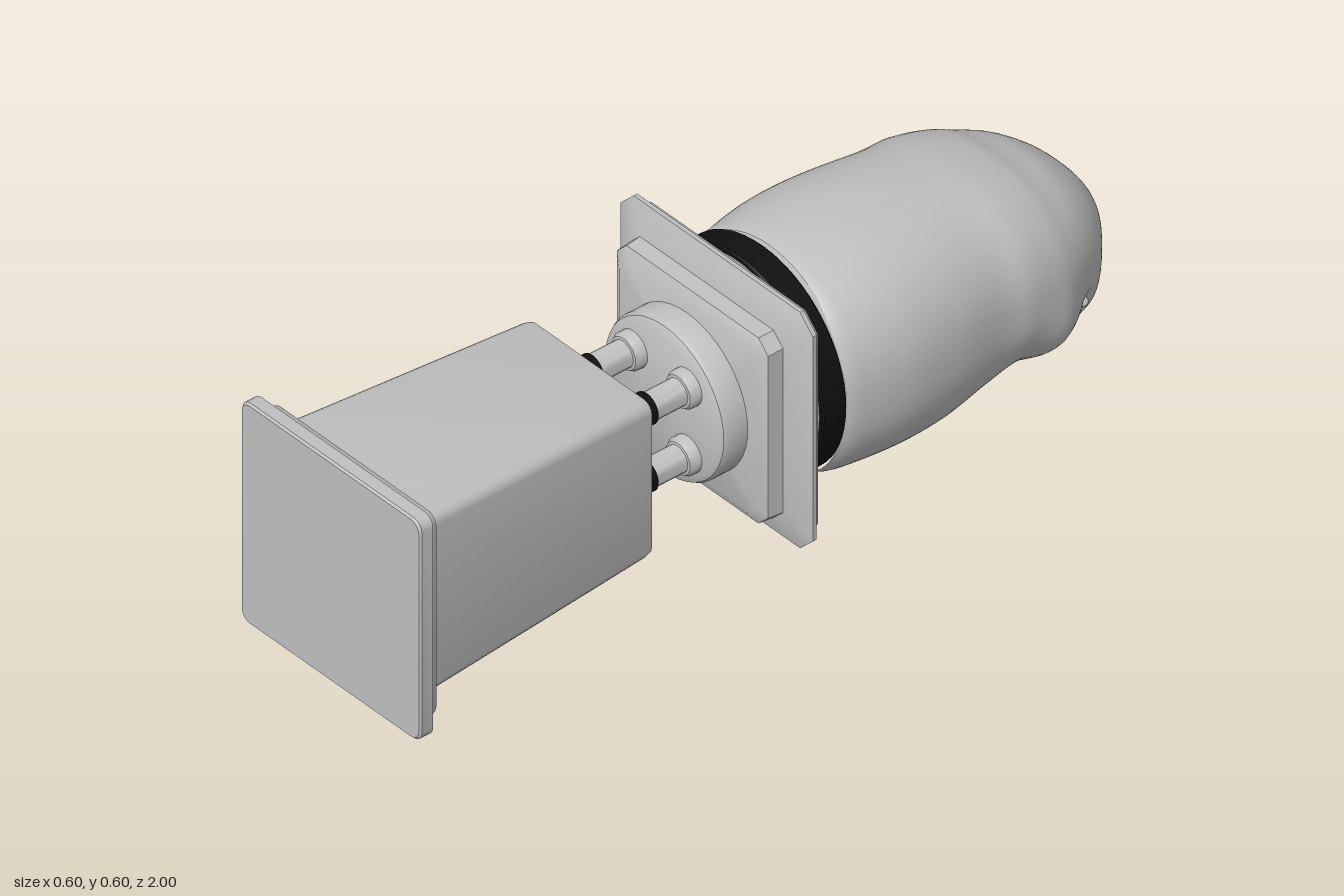
import * as THREE from 'three';
import { toCreasedNormals } from 'three/addons/utils/BufferGeometryUtils.js';

const MID = 0.3; // height of the long axis

// Joins equal-sized rings of points, ordered from +z to -z
function loft(rings) {
  const n = rings[0].length, pos = [], idx = [];
  rings.forEach(r => r.forEach(p => pos.push(p.x, p.y, p.z)));
  for (let i = 0; i < rings.length - 1; i++) {
    for (let j = 0; j < n; j++) {
      const a = i * n + j, b = i * n + (j + 1) % n;
      idx.push(a, a + n, b, b, a + n, b + n);
    }
  }
  const g = new THREE.BufferGeometry();
  g.setAttribute('position', new THREE.Float32BufferAttribute(pos, 3));
  g.setIndex(idx);
  g.computeVertexNormals();
  return g;
}

// Square ring with rounded (or chamfered, segs = 1) corners
function squareRing(z, half, r, segs) {
  const pts = [];
  const c = Math.max(half - r, 0), rad = Math.min(r, half);
  for (let q = 0; q < 4; q++) {
    const sx = q === 0 || q === 3 ? 1 : -1, sy = q < 2 ? 1 : -1;
    for (let k = 0; k <= segs; k++) {
      const a = (q + k / segs) * Math.PI / 2;
      pts.push(new THREE.Vector3(sx * c + rad * Math.cos(a), MID + sy * c + rad * Math.sin(a), z));
    }
  }
  return pts;
}

// Square body from a [z, half width] profile
const squareBody = (profile, r, segs) =>
  toCreasedNormals(loft(profile.map(([z, h]) => squareRing(z, h, r, segs))), 0.6);

// Round body from a [radius, z] profile, z rising
const roundBody = (profile, segs = 48) =>
  toCreasedNormals(new THREE.LatheGeometry(
    profile.map(([r, z]) => new THREE.Vector2(r, z)), segs).rotateX(Math.PI / 2), 0.6);

// Head stations: z, top, bottom, half width
const STATIONS = [
  [-0.155, 0.53, 0.035, 0.25], [-0.2, 0.55, 0.022, 0.268], [-0.32, 0.562, 0.016, 0.285],
  [-0.45, 0.56, 0.017, 0.28], [-0.58, 0.548, 0.042, 0.264], [-0.66, 0.537, 0.068, 0.268],
  [-0.74, 0.517, 0.05, 0.262], [-0.79, 0.495, 0.06, 0.247], [-0.85, 0.47, 0.075, 0.218],
  [-0.9, 0.437, 0.078, 0.188], [-0.94, 0.4, 0.125, 0.148], [-0.975, 0.355, 0.18, 0.1],
  [-0.993, 0.315, 0.225, 0.05], [-1, 0.275, 0.275, 0],
];
const heights = new THREE.CatmullRomCurve3(
  STATIONS.map(s => new THREE.Vector3(s[0], s[1], s[2])), false, 'catmullrom');
const widths = new THREE.CatmullRomCurve3(
  STATIONS.map(s => new THREE.Vector3(s[3], 0, 0)), false, 'catmullrom');
const bell = (d, w) => Math.exp(-(d * d) / (w * w));
const EYE_T = 8 / 13, EYE_A = -0.38;

function headPoint(t, a) {
  const h = heights.getPoint(t), w = Math.max(widths.getPoint(t).x, 0);
  const soft = v => Math.sign(v) * Math.pow(Math.abs(v), 0.88);
  const p = new THREE.Vector3(w * soft(Math.cos(a)),
    (h.y + h.z) / 2 + (h.y - h.z) / 2 * soft(Math.sin(a)), h.x);
  // mouth hollow between the chin and the arched upper lip
  if (p.y < 0.25) {
    p.y += 0.085 * bell(p.z + 0.825 - 0.25 * Math.abs(p.x), 0.032) * bell(p.x, 0.12) * bell(p.y - 0.07, 0.1);
  }
  // cheek swelling behind the eye and shallow socket around it
  p.x *= 1 + 0.05 * bell(p.z + 0.76, 0.05) * bell(p.y - 0.17, 0.09)
    - 0.06 * bell(p.z + 0.85, 0.025) * bell(p.y - 0.2, 0.025);
  return p;
}

function headGeometry() {
  const rings = [], rows = 104, cols = 72;
  for (let i = 0; i <= rows; i++) {
    const ring = [];
    for (let j = 0; j < cols; j++) ring.push(headPoint(i / rows, j / cols * Math.PI * 2));
    rings.push(ring);
  }
  return loft(rings);
}

export function createModel() {
  const grey = new THREE.MeshStandardMaterial({ color: 0xc0c0c0 });
  grey.name = 'grey';
  const black = new THREE.MeshStandardMaterial({ color: 0x101010 });
  black.name = 'black';

  const model = new THREE.Group();
  model.name = 'mountedHead';
  const add = (name, geometry, material, x = 0, y = 0, z = 0, parent = model) => {
    const m = new THREE.Mesh(geometry, material);
    m.name = name;
    m.position.set(x, y, z);
    parent.add(m);
    return m;
  };

  // Front base plate with stepped moulding
  add('basePlate', squareBody([[1, 0], [1, 0.276], [0.995, 0.28], [0.965, 0.28], [0.955, 0.262],
    [0.935, 0.255], [0.925, 0.238], [0.92, 0.2]], 0.025, 4), grey);

  // Tapered housing with a recessed rear end
  add('housing', squareBody([[0.94, 0.226], [0.32, 0.197], [0.305, 0.194], [0.3, 0.186],
    [0.3, 0.168], [0.305, 0.162], [0.335, 0.16], [0.335, 0]], 0.025, 4), grey);
  add('bottomTab', new THREE.BoxGeometry(0.07, 0.035, 0.37), grey, 0, 0.088, 0.715);

  // Four connecting posts
  for (const sx of [-1, 1]) for (const sy of [-1, 1]) {
    const post = new THREE.Group();
    post.name = 'post';
    post.position.set(sx * 0.085, MID + sy * 0.085, 0);
    model.add(post);
    add('postRod', roundBody([[0.044, 0.1], [0.044, 0.132], [0.038, 0.142], [0.032, 0.143], [0.032, 0.24]], 24),
      grey, 0, 0, 0, post);
    add('postSleeve', roundBody([[0, 0.225], [0.037, 0.225], [0.037, 0.33]], 24), black, 0, 0, 0, post);
    add('postSocket', roundBody([[0.03, 0.308], [0.044, 0.312], [0.05, 0.322], [0.05, 0.337]], 24),
      grey, 0, 0, 0, post);
  }

  // Round hub and bevelled square flange
  add('hub', roundBody([[0.19, 0.03], [0.19, 0.095], [0.185, 0.105], [0.165, 0.115], [0, 0.115]]),
    grey, 0, MID, 0);
  add('flangeStep', squareBody([[0.045, 0], [0.045, 0.212], [0.03, 0.236], [-0.03, 0.24]], 0.03, 1), grey);
  add('flange', squareBody([[-0.008, 0], [-0.008, 0.246], [-0.035, 0.3], [-0.045, 0.3],
    [-0.06, 0.282], [-0.066, 0.28], [-0.066, 0]], 0.04, 1), grey);

  // Neck with black seal band
  add('neck', roundBody([[0, -0.175], [0.255, -0.175], [0.255, -0.06]], 64), grey, 0, MID, 0);
  add('sealBand', roundBody([[0.25, -0.157], [0.262, -0.157], [0.266, -0.153], [0.266, -0.095],
    [0.262, -0.091], [0.25, -0.091]], 64), black, 0, MID, 0);

  // Whale head with small eyes
  add('head', headGeometry(), grey);
  const e = headPoint(EYE_T, EYE_A);
  for (const s of [-1, 1]) {
    add('eye', new THREE.SphereGeometry(0.011, 16, 12), grey, s * e.x, e.y, e.z);
    const lid = add('eyelid', new THREE.TorusGeometry(0.015, 0.004, 8, 20), grey, s * e.x, e.y, e.z);
    lid.rotation.y = s * (Math.PI / 2 + 0.5);
  }
  return model;
}
